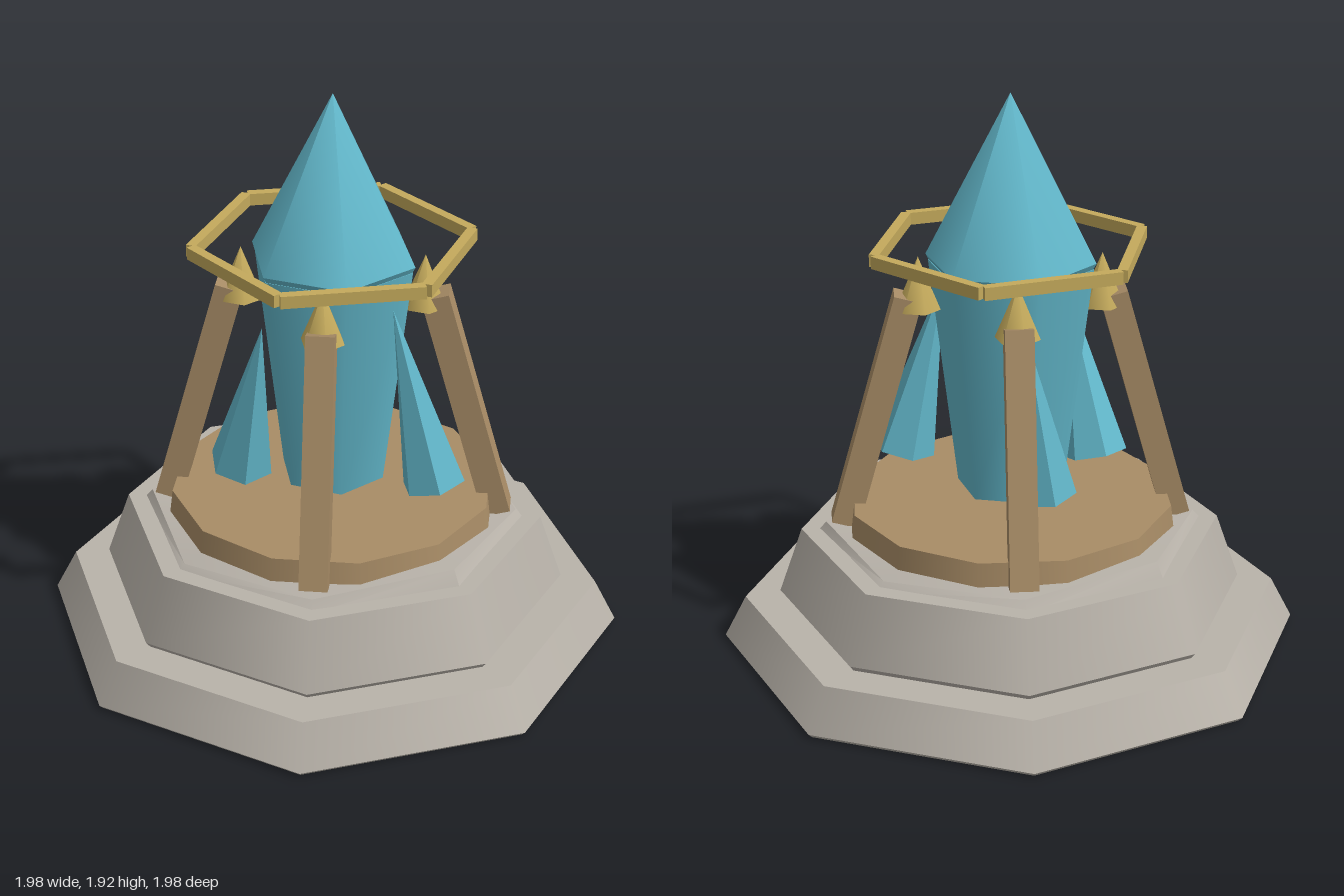
import * as THREE from 'three';
import { toCreasedNormals } from 'three/addons/utils/BufferGeometryUtils.js';

const mat = (name, color) => {
  const m = new THREE.MeshStandardMaterial({ color });
  m.name = name;
  return m;
};

export function createModel() {
  const stone = mat('stone grey', 0xb9b3aa);
  const wood = mat('wood brown', 0xa88c66);
  const brass = mat('brass yellow', 0xc4aa5c);
  const blue = mat('hull blue', 0x62b7ca);

  const model = new THREE.Group();
  model.name = 'rocketMonument';

  const add = (name, geometry, material) => {
    const mesh = new THREE.Mesh(geometry, material);
    mesh.name = name;
    model.add(mesh);
    return mesh;
  };

  // Upright tapered prism from y0 to y1
  const prism = (rBottom, rTop, y0, y1, sides) =>
    new THREE.CylinderGeometry(rTop, rBottom, y1 - y0, sides).translate(0, (y0 + y1) / 2, 0);

  // Place a y-aligned mesh of matching length between two points
  const up = new THREE.Vector3(0, 1, 0);
  const span = (mesh, a, b) => {
    mesh.position.copy(a).add(b).multiplyScalar(0.5);
    mesh.quaternion.setFromUnitVectors(up, b.clone().sub(a).normalize());
  };

  // Stepped octagonal plinth, each tier with a small lower bevel
  add('lowerTierFoot', prism(0.975, 0.99, 0, 0.015, 8), stone);
  add('lowerTier', prism(0.99, 0.915, 0.015, 0.16, 8), stone);
  add('middleTierFoot', prism(0.78, 0.795, 0.16, 0.18, 8), stone);
  add('middleTier', prism(0.795, 0.715, 0.18, 0.41, 8), stone);

  // Shallow ridged cap, highest along the x axis
  const cap = prism(0.66, 0.63, 0.4, 0.46, 8);
  const p = cap.attributes.position;
  for (let i = 0; i < p.count; i++) {
    if (p.getY(i) > 0.43) p.setY(i, 0.462 - 0.06 * Math.abs(p.getZ(i)));
  }
  add('plinthCap', toCreasedNormals(cap, 0.7), stone);

  add('woodenDisc', prism(0.562, 0.552, 0.44, 0.52, 12), wood);

  // Six-sided rocket
  add('rocketBody', prism(0.182, 0.278, 0.56, 1.345, 6), blue);
  add('noseRim', prism(0.27, 0.286, 1.335, 1.365, 6), blue);
  add('noseCone', prism(0.286, 0, 1.365, 1.925, 6), blue);

  // Three leaning fins: tip, then centre of the foot
  const fins = [
    [[0.26, 1.25, -0.04], [0.375, 0.63, -0.13]],
    [[0.02, 1.2, 0.31], [-0.145, 0.62, 0.28]],
    [[-0.22, 1.2, -0.18], [-0.24, 0.63, -0.11]],
  ];
  fins.forEach(([tip, foot], i) => {
    const a = new THREE.Vector3(...foot), b = new THREE.Vector3(...tip);
    const geo = new THREE.ConeGeometry(0.11, a.distanceTo(b), 6).toNonIndexed();
    geo.computeVertexNormals();
    span(add('fin' + (i + 1), geo, blue), a, b);
  });

  // Four leaning posts with pointed caps
  for (const sx of [-1, 1]) {
    for (const sz of [-1, 1]) {
      const name = (sz > 0 ? 'front' : 'back') + (sx > 0 ? 'Left' : 'Right');
      const a = new THREE.Vector3(sx * 0.4, 0.44, sz * 0.4);
      const b = new THREE.Vector3(sx * 0.24, 1.245, sz * 0.24);
      const geo = new THREE.BoxGeometry(0.094, a.distanceTo(b), 0.094).rotateY(Math.PI / 4);
      span(add(name + 'Post', geo, wood), a, b);

      const finial = add(name + 'Finial', prism(0.075, 0, 1.2, 1.38, 6), brass);
      finial.position.set(sx * 0.215, 0, sz * 0.215);
    }
  }

  // Hexagonal ring of six bars around the nose
  for (let i = 0; i < 6; i++) {
    const bar = new THREE.BoxGeometry(0.46, 0.042, 0.034)
      .translate(0, 1.408, 0.403)
      .rotateY((i * Math.PI) / 3);
    add('ringBar' + (i + 1), bar, brass);
  }

  return model;
}
